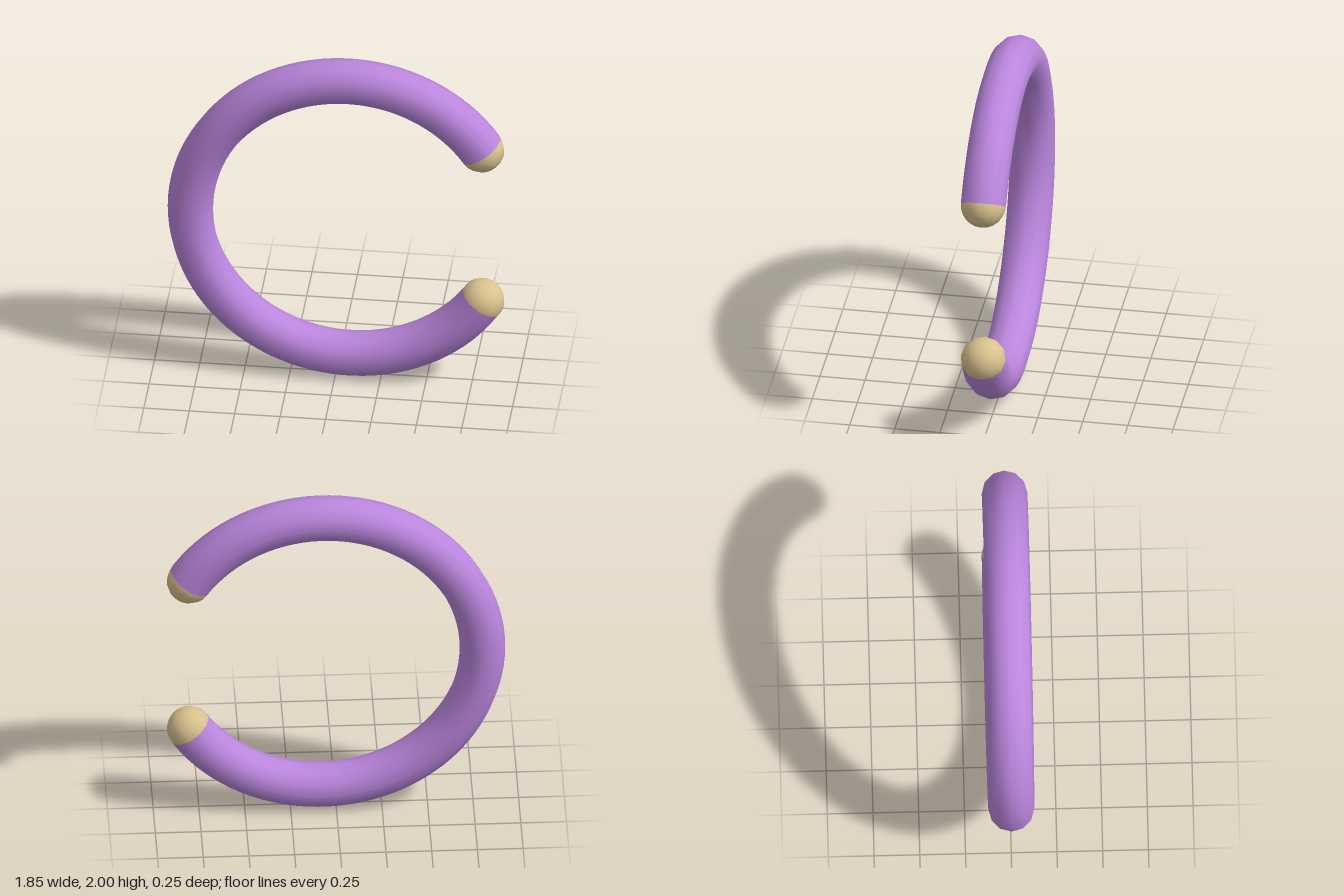
import * as THREE from 'three';

const MAJOR = 0.875, MINOR = 0.125, SIDES = 12;
const GAP = THREE.MathUtils.degToRad(33.75); // half of the opening
const CENTER_X = 0.073, CENTER_Y = 1;

export function createModel() {
  const group = new THREE.Group();
  group.name = 'openRing';

  const purple = new THREE.MeshStandardMaterial({ color: 0xbb86de });
  purple.name = 'purple';
  const gold = new THREE.MeshStandardMaterial({ color: 0xd9c28e });
  gold.name = 'gold';

  // Open ring with its gap facing +x
  const ring = new THREE.Mesh(
    new THREE.TorusGeometry(MAJOR, MINOR, SIDES, 80, 2 * (Math.PI - GAP)), purple);
  ring.name = 'ring';
  ring.rotation.z = GAP;
  ring.position.set(CENTER_X, CENTER_Y, 0);
  group.add(ring);

  // Rounded caps, domes pointing out along the ring's ends
  const dome = new THREE.SphereGeometry(MINOR, SIDES, 6, 0, Math.PI * 2, 0, Math.PI / 2);
  for (const side of [1, -1]) {
    const cap = new THREE.Mesh(dome, gold);
    cap.name = side > 0 ? 'upperEndCap' : 'lowerEndCap';
    cap.position.set(
      CENTER_X + MAJOR * Math.cos(GAP), CENTER_Y + side * MAJOR * Math.sin(GAP), 0);
    cap.rotation.z = side > 0 ? GAP - Math.PI : -GAP;
    group.add(cap);
  }
  return group;
}
